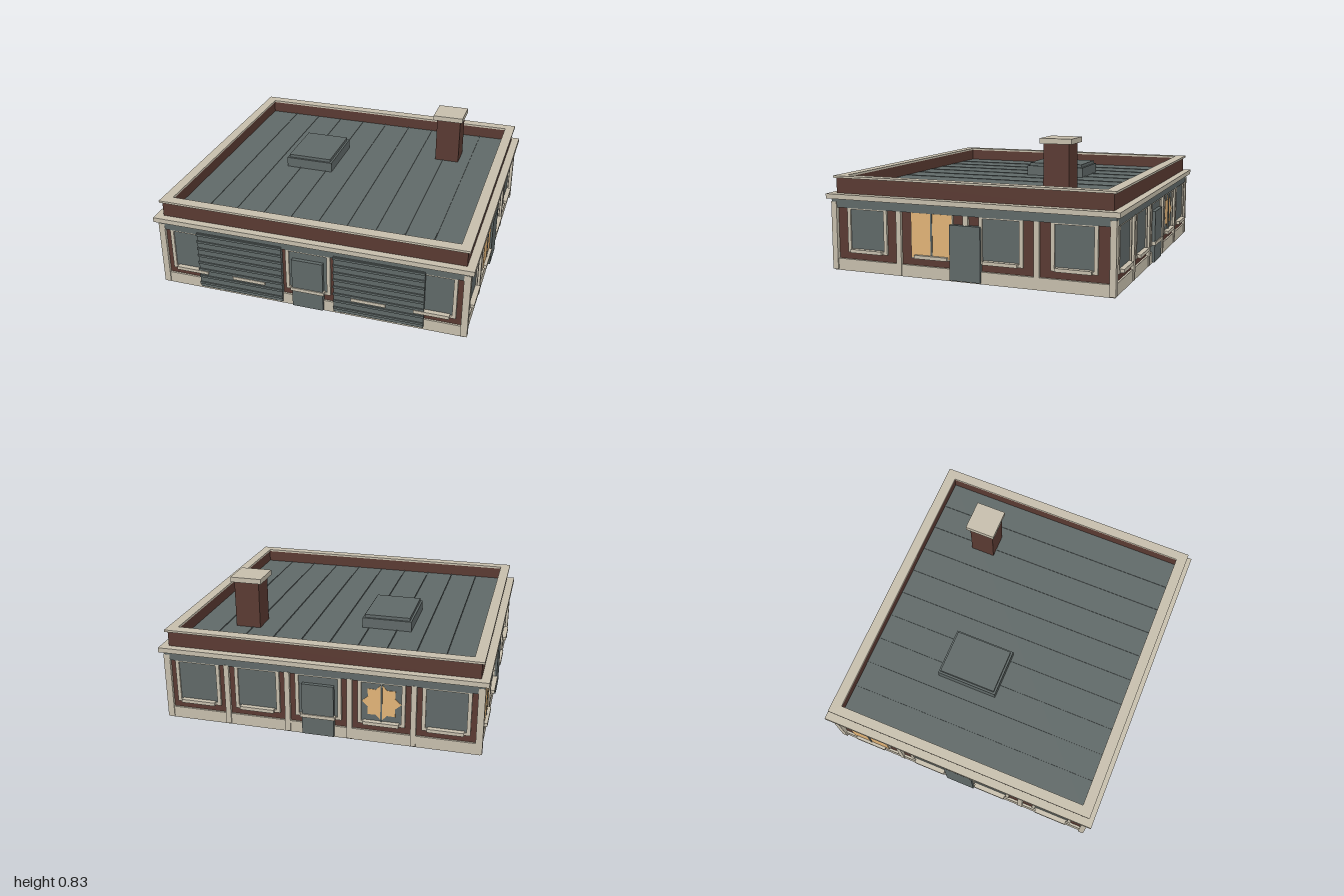
import * as THREE from 'three';

const mat = (name, color) => {
  const m = new THREE.MeshStandardMaterial({ color });
  m.name = name;
  return m;
};

export function createModel() {
  const model = new THREE.Group();
  model.name = 'building';
  const brick = mat('brick', 0x5a3a32);
  const stone = mat('stone', 0xc7bfad);
  const grey = mat('slate grey', 0x606968);
  const amber = mat('lit window', 0xe2b478);

  const add = (parent, name, geometry, material) => {
    const mesh = new THREE.Mesh(geometry, material);
    mesh.name = name;
    parent.add(mesh);
    return mesh;
  };
  // Box given by its limits on each axis
  const box = (parent, name, material, x0, x1, y0, y1, z0, z1) => {
    const mesh = add(parent, name, new THREE.BoxGeometry(x1 - x0, y1 - y0, z1 - z0), material);
    mesh.position.set((x0 + x1) / 2, (y0 + y1) / 2, (z0 + z1) / 2);
    return mesh;
  };
  const rect = (P, x0, x1, y0, y1) => new P([
    new THREE.Vector2(x0, y0), new THREE.Vector2(x1, y0),
    new THREE.Vector2(x1, y1), new THREE.Vector2(x0, y1)]);
  const slab = (shape, depth) => new THREE.ExtrudeGeometry(shape, { depth, bevelEnabled: false });
  // Horizontal rectangular ring
  const ring = (name, material, ox, oz, ix, iz, y0, y1) => {
    const s = rect(THREE.Shape, -ox, ox, -oz, oz);
    s.holes.push(rect(THREE.Path, -ix, ix, -iz, iz));
    const mesh = add(model, name, slab(s, y1 - y0), material);
    mesh.rotation.x = -Math.PI / 2;
    mesh.position.y = y0;
  };

  // Body, plinth, frieze and cornice
  box(model, 'walls', brick, -0.955, 0.955, 0, 0.45, -0.885, 0.885);
  box(model, 'plinth', stone, -0.97, 0.97, 0.002, 0.075, -0.897, 0.897);
  box(model, 'frieze', grey, -0.975, 0.975, 0.395, 0.45, -0.902, 0.902);
  box(model, 'cornice', stone, -1, 1, 0.45, 0.48, -0.927, 0.927);
  for (const sx of [-1, 1]) for (const sz of [-1, 1]) {
    const p = box(model, 'cornerPillar', stone, -0.02, 0.02, 0.008, 0.43, -0.018, 0.018);
    p.position.x = sx * 0.96;
    p.position.z = sz * 0.885;
  }

  // Parapet and roof
  ring('parapet', brick, 0.95, 0.88, 0.905, 0.83, 0.478, 0.575);
  ring('parapetCap', stone, 0.965, 0.895, 0.902, 0.828, 0.575, 0.588);
  box(model, 'roof', grey, -0.906, 0.906, 0.475, 0.5, -0.831, 0.831);
  for (let i = -4; i <= 4; i++) {
    box(model, 'roofSeam', grey, i * 0.18 - 0.003, i * 0.18 + 0.003, 0.499, 0.504, -0.83, 0.83);
  }

  // Chimney and roof hatch
  box(model, 'chimney', brick, 0.49, 0.65, 0.498, 0.8, -0.52, -0.36);
  box(model, 'chimneyCap', stone, 0.467, 0.667, 0.8, 0.832, -0.54, -0.343);
  box(model, 'hatchBase', grey, -0.453, -0.137, 0.498, 0.565, -0.353, 0.048);
  box(model, 'hatchTop', grey, -0.44, -0.15, 0.565, 0.585, -0.34, 0.035);

  // Facade parts, built in a wall's own frame with z pointing outward
  const windowBay = (wall, u, half) => {
    const g = new THREE.Group();
    g.name = 'window';
    g.position.x = u;
    wall.add(g);
    const s = rect(THREE.Shape, -half - 0.022, half + 0.022, 0.12, 0.4);
    s.holes.push(rect(THREE.Path, -half, half, 0.137, 0.387));
    add(g, 'windowFrame', slab(s, 0.014), stone);
    box(g, 'windowPane', grey, -half, half, 0.135, 0.389, 0, 0.005);
    box(g, 'windowSill', stone, -0.107, 0.107, 0.122, 0.143, 0, 0.036);
    return g;
  };
  const makeWall = (name, angle, distance, bays, half, posts, lit) => {
    const wall = new THREE.Group();
    wall.name = name;
    wall.rotation.y = angle;
    wall.position.set(Math.sin(angle) * distance, 0, Math.cos(angle) * distance);
    model.add(wall);
    bays.forEach((u, i) => {
      const w = windowBay(wall, u, half);
      if (i !== lit) return;
      if (name === 'backWall') {
        // Jagged glowing patch behind the mullion
        const pts = [];
        for (let k = 0; k < 16; k++) {
          const r = k % 2 ? 0.088 : 0.118, a = k / 16 * Math.PI * 2;
          pts.push(new THREE.Vector2(Math.cos(a) * r, 0.264 + Math.sin(a) * r));
        }
        add(w, 'litPatch', slab(new THREE.Shape(pts), 0.008), amber);
        box(w, 'mullion', grey, -0.005, 0.005, 0.137, 0.39, 0, 0.014);
      } else {
        box(w, 'litPane', amber, -0.133, 0.133, 0.128, 0.394, 0.0095, 0.0165);
        box(w, 'mullion', grey, -0.006, 0.006, 0.137, 0.394, 0.01, 0.02);
      }
    });
    for (const u of posts) box(wall, 'pilaster', stone, u - 0.016, u + 0.016, 0.008, 0.4, 0, 0.019);
    box(wall, 'door', grey, -0.098, 0.098, 0.01, 0.34, 0, 0.029);
    return wall;
  };

  const five = [-0.765, -0.383, 0, 0.383, 0.765], fivePosts = [-0.575, -0.192, 0.192, 0.575];
  const four = [-0.66, -0.22, 0.22, 0.66], fourPosts = [-0.44, 0, 0.44];
  const front = makeWall('frontWall', 0, 0.885, five, 0.12, fivePosts, -1);
  makeWall('backWall', Math.PI, 0.885, five, 0.12, fivePosts, 3);
  makeWall('plusXWall', Math.PI / 2, 0.955, four, 0.115, fourPosts, 1);
  makeWall('minusXWall', -Math.PI / 2, 0.955, four, 0.115, fourPosts, 0);

  // Ribbed garage doors
  for (const side of [-1, 1]) {
    const g = new THREE.Group();
    g.name = 'garageDoor';
    g.position.x = side * 0.442;
    front.add(g);
    box(g, 'garagePanel', grey, -0.277, 0.277, 0.02, 0.41, 0, 0.024);
    for (let i = 0; i < 8; i++) {
      const y = 0.05 + i * 0.05;
      box(g, 'garageRib', grey, -0.279, 0.279, y - 0.007, y + 0.007, 0.02, 0.032);
    }
  }
  return model;
}
